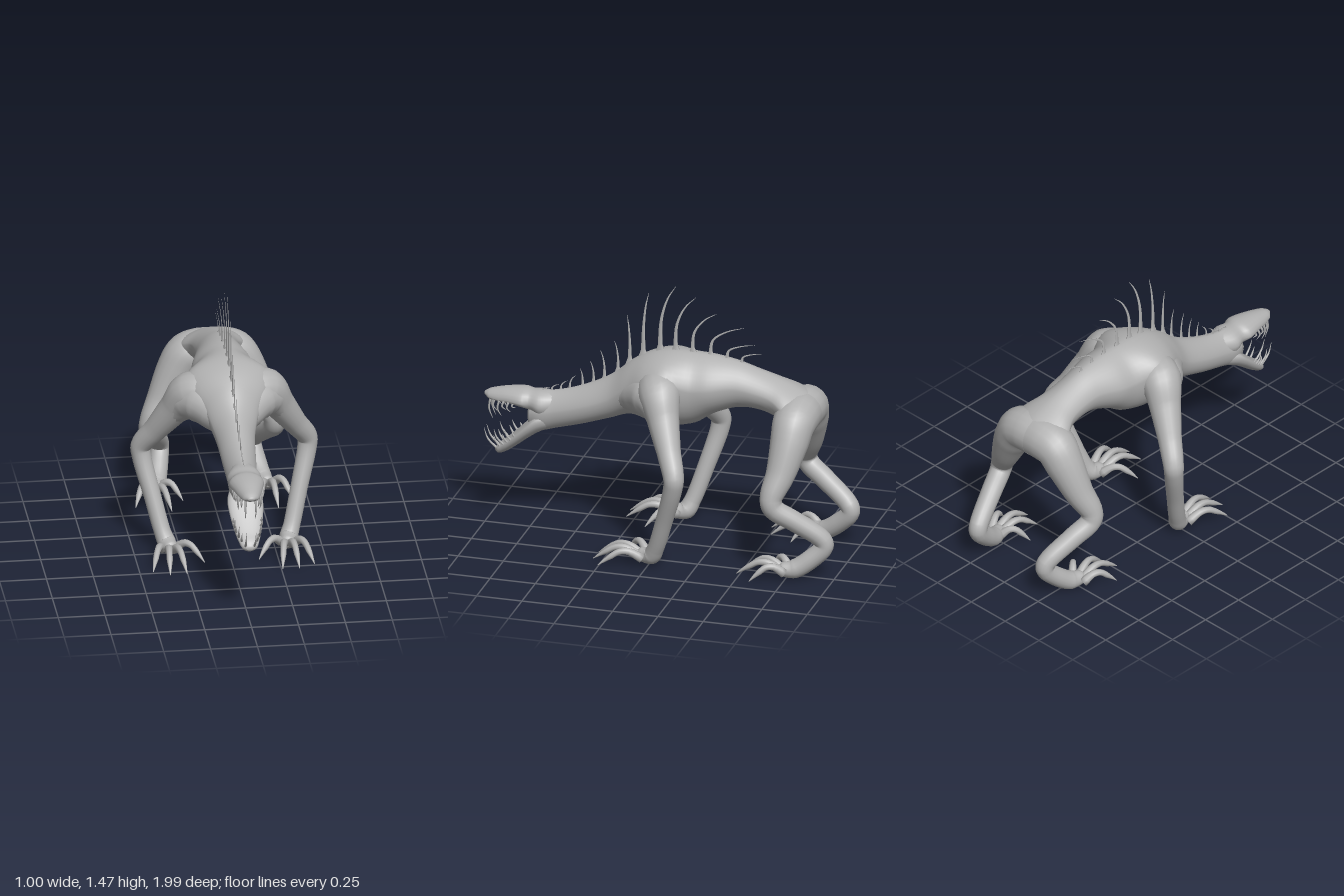
import * as THREE from 'three';

const skinMat = new THREE.MeshStandardMaterial({ color: 0xb2b2b2 });
skinMat.name = 'grey hide';

const V = (x, y, z) => new THREE.Vector3(x, y, z);

// Closes a row of equal rings into one smooth skin with capped ends
function skin(name, rings) {
  const n = rings[0].length, pos = [], idx = [];
  rings.forEach(r => r.forEach(p => pos.push(p.x, p.y, p.z)));
  for (let i = 0; i < rings.length - 1; i++) {
    for (let j = 0; j < n; j++) {
      const k = (j + 1) % n, a = i * n + j, b = i * n + k;
      idx.push(a, b, b + n, a, b + n, a + n);
    }
  }
  [0, rings.length - 1].forEach((r, end) => {
    const c = V(0, 0, 0);
    rings[r].forEach(p => c.addScaledVector(p, 1 / n));
    const m = pos.length / 3;
    pos.push(c.x, c.y, c.z);
    for (let j = 0; j < n; j++) {
      const a = r * n + j, b = r * n + (j + 1) % n;
      if (end) idx.push(m, a, b); else idx.push(m, b, a);
    }
  });
  const g = new THREE.BufferGeometry();
  g.setAttribute('position', new THREE.Float32BufferAttribute(pos, 3));
  g.setIndex(idx);
  g.computeVertexNormals();
  const mesh = new THREE.Mesh(g, skinMat);
  mesh.name = name;
  return mesh;
}

// Tapered limb: points are [x, y, z, radius]; flat squeezes it along x
function limb(name, pts, { sides = 18, per = 6, flat = 1 } = {}) {
  const curve = new THREE.CatmullRomCurve3(pts.map(p => V(p[0], p[1], p[2])));
  const steps = (pts.length - 1) * per, rings = [];
  const u = V(1, 0, 0);
  // A limb that starts sideways needs another reference direction
  if (Math.abs(curve.getTangent(0).x) > 0.95) u.set(0, 1, 0);
  for (let i = 0; i <= steps; i++) {
    const t = i / steps, f = t * (pts.length - 1);
    const k = Math.min(Math.floor(f), pts.length - 2);
    const r = THREE.MathUtils.lerp(pts[k][3], pts[k + 1][3], f - k);
    const c = curve.getPoint(t), d = curve.getTangent(t);
    u.addScaledVector(d, -u.dot(d)).normalize();
    const v = d.clone().cross(u);
    rings.push(Array.from({ length: sides }, (_, j) => {
      const a = j / sides * Math.PI * 2;
      return c.clone().addScaledVector(u, Math.cos(a) * r * flat).addScaledVector(v, Math.sin(a) * r);
    }));
  }
  return skin(name, rings);
}

// Body loft along z: sections are [z, top, bottom, halfWidth, height of widest line 0..1];
// ridge above 1 makes the upper half more roof-shaped
function loft(name, secs, sides = 32, ridge = 1) {
  const a = new THREE.CatmullRomCurve3(secs.map(s => V(s[0], s[1], s[2])));
  const b = new THREE.CatmullRomCurve3(secs.map(s => V(s[3], s[4], s[0])));
  const steps = (secs.length - 1) * 5, rings = [];
  for (let i = 0; i <= steps; i++) {
    const p = a.getPoint(i / steps), q = b.getPoint(i / steps);
    const yc = p.z + q.y * (p.y - p.z);
    rings.push(Array.from({ length: sides }, (_, j) => {
      const t = j / sides * Math.PI * 2, s = Math.sin(t), c = Math.cos(t);
      if (s <= 0) return V(c * q.x, yc + s * (yc - p.z), p.x);
      return V(Math.sign(c) * Math.abs(c) ** ridge * q.x, yc + s ** ridge * (p.y - yc), p.x);
    }));
  }
  return skin(name, rings);
}

// Arched toe ending in a claw
function toe(s, from, tip) {
  const at = (t, y, r) => [s * THREE.MathUtils.lerp(from[0], tip[0], t), y, THREE.MathUtils.lerp(from[1], tip[1], t), r];
  return limb('clawedToe', [at(0, 0.045, 0.026), at(0.3, 0.085, 0.02), at(0.52, 0.084, 0.017),
    at(0.7, 0.06, 0.016), at(0.86, 0.035, 0.009), at(1, 0.01, 0.002)], { sides: 8, per: 3 });
}

export function createModel() {
  const model = new THREE.Group();
  model.name = 'spinedBeast';

  // Trunk and neck
  model.add(loft('trunk', [
    [-0.835, 0.88, 0.79, 0.06, 0.5], [-0.82, 0.91, 0.765, 0.13, 0.5], [-0.78, 0.945, 0.745, 0.175, 0.55],
    [-0.7, 0.985, 0.755, 0.175, 0.55], [-0.61, 1.02, 0.81, 0.13, 0.55], [-0.5, 1.055, 0.835, 0.117, 0.52],
    [-0.4, 1.085, 0.83, 0.124, 0.52], [-0.27, 1.105, 0.78, 0.162, 0.52], [-0.17, 1.11, 0.715, 0.175, 0.58],
    [-0.03, 1.11, 0.69, 0.23, 0.72], [0.08, 1.085, 0.705, 0.2, 0.68], [0.18, 1.03, 0.725, 0.148, 0.58],
    [0.3, 0.93, 0.685, 0.107, 0.5], [0.46, 0.848, 0.63, 0.091, 0.5], [0.6, 0.804, 0.59, 0.081, 0.5],
    [0.69, 0.79, 0.565, 0.08, 0.5], [0.745, 0.765, 0.58, 0.065, 0.5]], 36, 1.2));

  // Open jaws
  model.add(loft('upperJaw', [
    [0.6, 0.79, 0.66, 0.06, 0.5], [0.68, 0.795, 0.65, 0.092, 0.5], [0.735, 0.792, 0.675, 0.078, 0.5],
    [0.78, 0.798, 0.695, 0.094, 0.4], [0.86, 0.793, 0.708, 0.076, 0.35], [0.92, 0.782, 0.712, 0.06, 0.3],
    [0.97, 0.768, 0.718, 0.042, 0.35], [0.998, 0.752, 0.735, 0.016, 0.5]], 20));
  model.add(loft('lowerJaw', [
    [0.6, 0.7, 0.6, 0.05, 0.5], [0.69, 0.68, 0.56, 0.088, 0.6], [0.75, 0.62, 0.52, 0.094, 0.7],
    [0.82, 0.55, 0.465, 0.08, 0.7], [0.88, 0.495, 0.423, 0.062, 0.7], [0.92, 0.463, 0.408, 0.044, 0.6],
    [0.938, 0.44, 0.42, 0.016, 0.5]], 20));

  // Dorsal spines with flared roots: [base z, base y, tip z, tip y]
  [[-0.42, 1.08, -0.53, 1.14], [-0.34, 1.095, -0.49, 1.185], [-0.25, 1.105, -0.43, 1.276],
    [-0.15, 1.11, -0.28, 1.34], [-0.055, 1.105, -0.165, 1.42], [0.03, 1.09, -0.055, 1.472],
    [0.125, 1.055, 0.095, 1.415], [0.2, 1.01, 0.215, 1.275], [0.265, 0.955, 0.285, 1.12],
    [0.34, 0.9, 0.362, 1.056], [0.4, 0.87, 0.42, 0.99], [0.46, 0.843, 0.475, 0.94],
    [0.53, 0.815, 0.5, 0.895], [0.58, 0.8, 0.545, 0.86], [0.63, 0.79, 0.59, 0.835],
    [0.68, 0.785, 0.64, 0.812]].forEach(([bz, by, tz, ty]) => {
    const len = Math.hypot(tz - bz, ty - by), r = 0.006 + len * 0.02;
    const at = (f, g) => [0, by + (ty - by) * f, bz + (tz - bz) * g];
    model.add(limb('dorsalSpine', [[0, by - 0.025, bz, r * 2.8], [...at(0.1, -0.02), r * 1.05],
      [...at(0.48, 0.05), r * 0.65], [...at(0.8, 0.46), r * 0.38], [...at(1, 1), 0.001]], { sides: 6, per: 4, flat: 0.32 }));
  });

  for (const s of [1, -1]) {
    const side = s > 0 ? 'left' : 'right';
    const m = pts => pts.map(([x, y, z, r]) => [s * x, y, z, r]);

    // Front leg, with a chest muscle easing it into the neck
    const front = new THREE.Group();
    front.name = side + 'FrontLeg';
    front.add(limb('chestMuscle', m([[0.03, 0.83, 0.24, 0.07], [0.08, 0.86, 0.14, 0.095],
      [0.15, 0.888, 0.045, 0.11], [0.215, 0.87, -0.02, 0.1], [0.29, 0.79, -0.075, 0.075]])));
    front.add(limb('arm', m([[0.05, 0.91, 0.01, 0.12], [0.14, 0.93, 0, 0.115], [0.205, 0.915, -0.025, 0.112],
      [0.275, 0.815, -0.065, 0.086], [0.37, 0.67, -0.125, 0.064], [0.443, 0.56, -0.172, 0.055],
      [0.442, 0.505, -0.168, 0.052], [0.39, 0.29, -0.105, 0.046], [0.345, 0.11, -0.045, 0.045],
      [0.325, 0.058, -0.015, 0.05], [0.31, 0.05, 0.045, 0.038], [0.305, 0.05, 0.075, 0.015]])));
    [[0.355, 0.03, 0.43, 0.25], [0.325, 0.05, 0.345, 0.3], [0.295, 0.05, 0.255, 0.295], [0.28, 0.02, 0.145, 0.16]]
      .forEach(([a, b, c, d]) => front.add(toe(s, [a, b], [c, d])));
    model.add(front);

    // Hind leg, running from the middle of the pelvis
    const hind = new THREE.Group();
    hind.name = side + 'HindLeg';
    hind.add(limb('leg', m([[-0.01, 0.832, -0.745, 0.116], [0.06, 0.834, -0.745, 0.118], [0.128, 0.815, -0.742, 0.115],
      [0.188, 0.73, -0.735, 0.104], [0.265, 0.58, -0.71, 0.08], [0.33, 0.455, -0.675, 0.06],
      [0.333, 0.405, -0.69, 0.057], [0.3, 0.335, -0.79, 0.055], [0.25, 0.225, -0.935, 0.051],
      [0.247, 0.185, -0.945, 0.05], [0.264, 0.105, -0.87, 0.052], [0.283, 0.053, -0.79, 0.051],
      [0.3, 0.05, -0.73, 0.038], [0.305, 0.05, -0.7, 0.014]])));
    [[0.34, -0.75, 0.42, -0.58], [0.315, -0.73, 0.33, -0.485], [0.285, -0.73, 0.235, -0.51], [0.27, -0.76, 0.16, -0.64]]
      .forEach(([a, b, c, d]) => hind.add(toe(s, [a, b], [c, d])));
    model.add(hind);

    // Slender teeth, longest towards the front
    const teeth = new THREE.Group();
    teeth.name = side + 'Teeth';
    for (let i = 0; i < 6; i++) {
      const f = i / 5, long = i % 2 ? 1 : 0.6;
      const ux = 0.074 - 0.048 * f * f, uz = 0.82 + 0.14 * f, ul = (0.03 + 0.08 * f) * long;
      teeth.add(limb('upperTooth', m([[ux, 0.73, uz, 0.007], [ux * 1.08, 0.72 - ul * 0.5, uz + 0.008, 0.005],
        [ux, 0.72 - ul, uz - 0.012, 0.001]]), { sides: 6, per: 3 }));
      const lx = 0.068 - 0.045 * f * f, lz = 0.81 + 0.11 * f, ly = 0.54 - 0.09 * f, ll = (0.04 + 0.07 * f) * long;
      teeth.add(limb('lowerTooth', m([[lx, ly - 0.015, lz, 0.007], [lx * 1.12, ly + ll * 0.35, lz + ll * 0.5, 0.005],
        [lx * 1.08, ly + ll * 0.9, lz + ll * 0.7, 0.001]]), { sides: 6, per: 3 }));
    }
    model.add(teeth);
  }
  return model;
}
